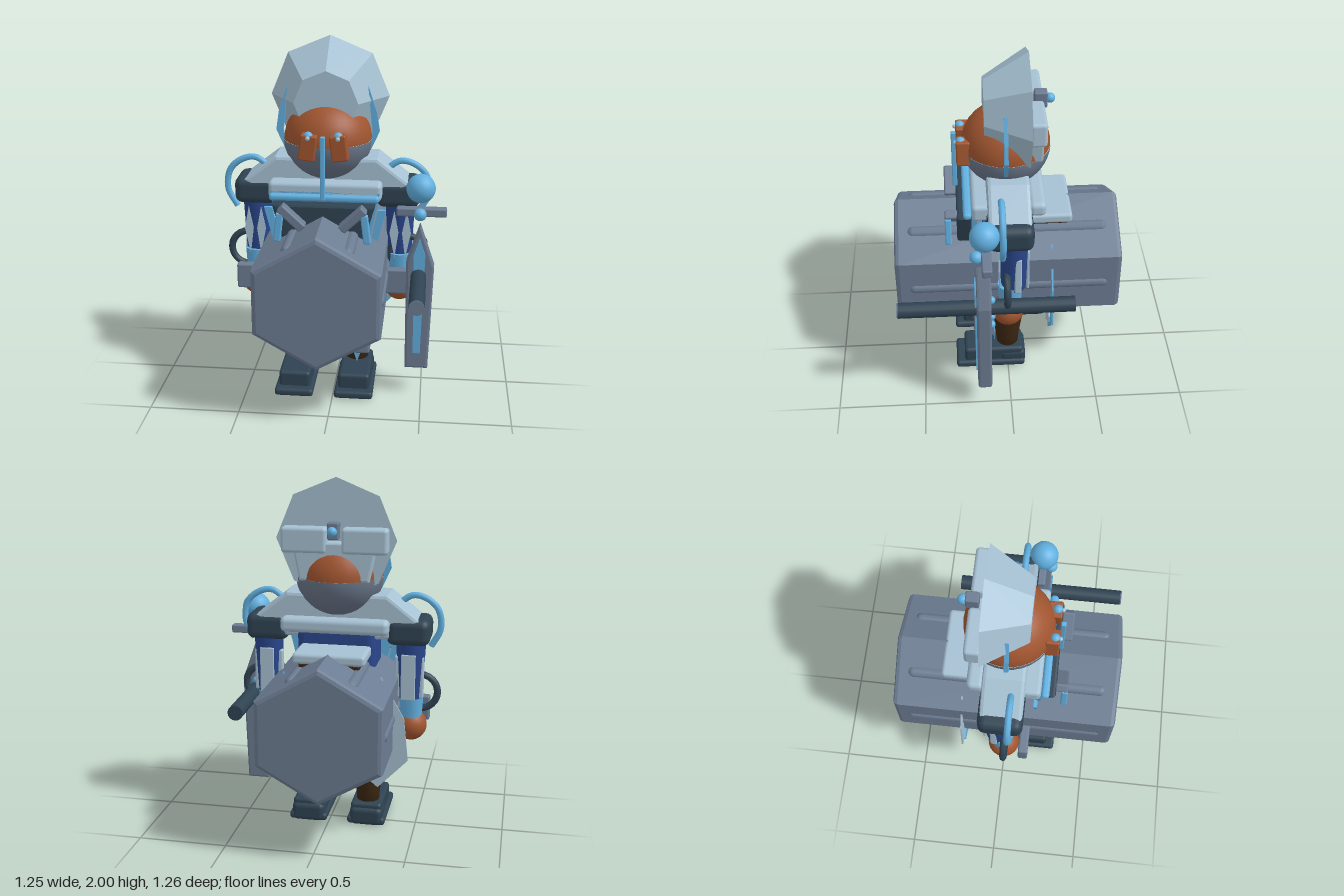
import * as THREE from 'three';
import { RoundedBoxGeometry } from 'three/addons/geometries/RoundedBoxGeometry.js';

const CX = -0.05; // the figure's own mirror line

const mat = (name, color, extra = {}) => {
  const m = new THREE.MeshStandardMaterial({ color, ...extra });
  m.name = name;
  return m;
};

export function createModel() {
  const root = new THREE.Group();
  root.name = 'figure';
  const D = { side: THREE.DoubleSide };
  const steel = mat('steel grey', 0x6c7c92);
  const pale = mat('pale plate', 0xa6c1d3, D);
  const paleFlat = pale;
  const blue = mat('sky blue', 0x62b0e0, D);
  const skin = mat('brown skin', 0xa05530);
  const dark = mat('dark slate', 0x2f4352);
  const navy = mat('navy cloth', 0x2a468c);
  const wood = mat('dark brown', 0x3c2712);
  const beard = mat('beard grey', 0x697588);

  const add = (name, geo, m, x = 0, y = 0, z = 0, rx = 0, ry = 0, rz = 0) => {
    const mesh = new THREE.Mesh(geo, m);
    mesh.name = name;
    mesh.position.set(x, y, z);
    mesh.rotation.set(rx, ry, rz);
    root.add(mesh);
    return mesh;
  };
  // rounded box given by its limits
  const box = (name, m, x0, x1, y0, y1, z0, z1, r = 0.015) =>
    add(name, new RoundedBoxGeometry(x1 - x0, y1 - y0, z1 - z0, 2,
      Math.min(r, (x1 - x0) / 2.2, (y1 - y0) / 2.2, (z1 - z0) / 2.2)), m,
    (x0 + x1) / 2, (y0 + y1) / 2, (z0 + z1) / 2);
  // outline in x,y pushed out from z0 to z1
  const plate = (name, m, pts, z0, z1, bevel = 0) => {
    const s = new THREE.Shape(pts.map(p => new THREE.Vector2(p[0], p[1])));
    const g = new THREE.ExtrudeGeometry(s, {
      depth: z1 - z0 - 2 * bevel, bevelEnabled: bevel > 0, bevelSize: bevel,
      bevelThickness: bevel, bevelOffset: -bevel, bevelSegments: 2,
    });
    return add(name, g, m, 0, 0, z0 + bevel);
  };
  const ball = (name, m, r, x, y, z) => add(name, new THREE.SphereGeometry(r, 20, 14), m, x, y, z);

  // big hexagonal drum lying along z, with a ridge on every face
  plate('hexDrum', steel, [[CX, 1.09], [-0.39, 0.895], [-0.39, 0.535], [CX, 0.34],
    [0.29, 0.535], [0.29, 0.895]], -0.63, 0.63, 0.025);
  for (let i = 0; i < 6; i++) {
    const a = i * Math.PI / 3;
    const rod = add('drumRidge', new THREE.CapsuleGeometry(0.035, 1.05, 4, 10), steel,
      CX + Math.cos(a) * 0.318, 0.715 + Math.sin(a) * 0.303, 0, Math.PI / 2);
    rod.scale.set(1, 1, 1);
  }

  // torso and collar
  box('torso', navy, -0.27, 0.17, 0.6, 1.24, -0.14, 0.14, 0.05);
  plate('collar', pale, [[-0.51, 1.23], [-0.33, 1.37], [0.23, 1.37], [0.41, 1.23],
    [0.3, 1.12], [-0.4, 1.12]], -0.115, 0.115, 0.02);
  box('collarFront', pale, -0.36, 0.26, 1.15, 1.25, 0.08, 0.2, 0.025);
  box('backRoll', pale, -0.35, 0.25, 1.16, 1.245, -0.205, -0.11, 0.03);
  box('backShelf', pale, -0.25, 0.145, 1.03, 1.09, -0.36, -0.12, 0.02);
  box('shelfUnderside', wood, -0.22, 0.115, 1.005, 1.035, -0.34, -0.12, 0.012);
  box('beltStrap', wood, 0.22, 0.28, 0.475, 0.5, -0.19, 0.02, 0.008);

  // chest instrument
  plate('chestBacking', blue, [[-0.35, 1.2], [0.25, 1.2], [0.19, 0.9], [-0.29, 0.9]], 0.17, 0.2);
  plate('chestBlock', dark, [[-0.33, 1.15], [0.23, 1.15], [0.17, 0.94], [-0.27, 0.94]], 0.195, 0.28, 0.015);
  box('chestBar', blue, -0.35, 0.25, 1.155, 1.195, 0.2, 0.245, 0.018);

  // head: bare upper part, bearded lower part
  const headPart = (name, m, r, t0, t1) => {
    const h = add(name, new THREE.SphereGeometry(r, 32, 12, 0, Math.PI * 2, t0, t1), m, CX, 1.455, 0);
    h.scale.y = 0.94;
  };
  headPart('headTop', skin, 0.242, 0, Math.PI / 2);
  headPart('beard', beard, 0.244, Math.PI / 2, Math.PI / 2);

  // hood: octagonal shell, wide at the flat back
  const hood = new THREE.CylinderGeometry(0.175, 0.33, 0.24, 8).toNonIndexed();
  hood.computeVertexNormals();
  add('hood', hood, paleFlat, CX, 1.67, 0, Math.PI / 2);

  // gear on the back of the hood
  box('backVisorRight', pale, -0.34, -0.09, 1.6, 1.74, -0.2, -0.11, 0.02);
  box('backVisorLeft', pale, -0.01, 0.24, 1.6, 1.74, -0.2, -0.11, 0.02);
  plate('backMask', pale, [[-0.28, 1.66], [0.18, 1.66], [0.14, 1.45], [-0.24, 1.45]], -0.19, -0.11, 0.012);
  box('lampHousing', steel, -0.08, -0.02, 1.68, 1.77, -0.22, -0.15, 0.008);
  ball('lamp', blue, 0.027, CX, 1.725, -0.235);

  // nose bar
  box('noseBar', blue, -0.063, -0.037, 1.18, 1.53, 0.268, 0.295, 0.006);

  for (const s of [-1, 1]) {
    const X = d => CX + s * d; // mirrored x
    const mp = pts => pts.map(([d, y]) => [X(d), y]);

    // goggle and eye
    const gog = box('goggle', skin, -0.045, 0.045, 1.39, 1.53, 0.195, 0.27, 0.01);
    gog.position.x = X(0.083);
    gog.rotation.z = s * 0.12;
    ball('eye', blue, 0.026, X(0.08), 1.52, 0.245);
    ball('eyeGlint', pale, 0.012, X(0.08), 1.515, 0.272);

    // ear fin
    plate('earFin', blue, mp([[0.22, 1.75], [0.27, 1.6], [0.285, 1.5], [0.235, 1.39],
      [0.245, 1.5], [0.235, 1.6]]), 0, 0.022);

    // shoulder pad and hose
    const pad = box('shoulderPad', dark, 0, 0.24, 1.09, 1.24, -0.125, 0.12, 0.045);
    pad.position.x = X(0.395);
    const pts = [[0.51, 1.06], [0.56, 1.16], [0.545, 1.27], [0.48, 1.33], [0.4, 1.345],
      [0.31, 1.28]].map(([d, y]) => new THREE.Vector3(X(d), y, 0.045));
    add('shoulderHose', new THREE.TubeGeometry(new THREE.CatmullRomCurve3(pts), 24, 0.018, 8), blue);

    // arm, cuff, hand
    add('upperArm', new THREE.CylinderGeometry(0.085, 0.068, 0.36, 16), navy, X(0.405), 0.96, -0.02);
    add('forearm', new THREE.CylinderGeometry(0.069, 0.06, 0.16, 12), blue, X(0.41), 0.72, 0);
    for (const k of [-1, 1])
      plate('sleevePatch', pale, mp([[0.41 + k * 0.035, 1.06], [0.435 + k * 0.035, 0.93],
        [0.41 + k * 0.03, 0.78], [0.385 + k * 0.035, 0.93]]), 0.055, 0.062);
    box('sleeveSide', pale, X(0.4) - 0.082, X(0.4) + 0.082, 0.78, 1.02, -0.06, -0.02, 0.01);
    box('sleeveBack', pale, X(0.4) - 0.04, X(0.4) + 0.04, 0.78, 1.04, -0.104, -0.09, 0.005);
    const cuff = box('cuff', steel, 0, 0.17, 0.6, 0.745, 0.1, 0.155, 0.012);
    cuff.position.x = X(0.42);
    ball('hand', skin, 0.09, X(0.41), 0.605, 0.01);
    add('armRing', new THREE.TorusGeometry(0.1, 0.02, 8, 24), dark, X(0.455), 0.8, 0.02);

    // angled chest levers with blue tips
    const lever = box('chestLever', steel, -0.085, 0.085, 1.065, 1.115, 0.275, 0.345, 0.01);
    lever.position.x = X(0.165);
    lever.rotation.z = s * 0.75;
    const tip = box('leverTip', blue, 0, 0.04, 0.96, 1.12, 0.31, 0.345, 0.008);
    tip.position.x = X(0.235);
    tip.rotation.z = s * 0.12;

    // blue strap beside the chest
    plate('chestStrap', blue, mp([[0.29, 1.1], [0.335, 1.1], [0.29, 0.92], [0.255, 0.92]]), 0.165, 0.185);

    // coat tails
    plate('coatTail', s < 0 ? pale : blue, mp([[0.27, 0.95], [0.4, 0.72], [0.425, 0.48],
      [0.26, 0.31], [0.15, 0.4], [0.2, 0.8]]), -0.245, -0.235);
    plate('coatTailTrim', s < 0 ? blue : pale, mp([[0.33, 0.55], [0.4, 0.52], [0.39, 0.47],
      [0.25, 0.36], [0.22, 0.42]]), -0.23, -0.222);

    // leg, knee plate, shin inlay
    const legPts = [[0.001, 0.08], [0.06, 0.08], [0.07, 0.2], [0.09, 0.34], [0.085, 0.43],
      [0.06, 0.465], [0.001, 0.47]].map(p => new THREE.Vector2(p[0], p[1]));
    add('leg', new THREE.LatheGeometry(legPts, 20), wood, X(0.17), 0, 0);
    const knee = box('kneePlate', steel, 0, 0.16, 0.24, 0.44, 0.08, 0.2, 0.015);
    knee.position.x = X(0.175);
    plate('shinInlay', blue, mp([[0.14, 0.235], [0.21, 0.235], [0.175, 0.13]]), 0.074, 0.082);

    // boot
    const upper = box('bootUpper', dark, 0, 0.18, 0.03, 0.135, -0.09, 0.26, 0.02);
    upper.position.x = X(0.17);
    const sole = box('bootSole', dark, 0, 0.22, 0.005, 0.05, -0.1, 0.31, 0.018);
    sole.position.x = X(0.17);
    box('bootHeel', dark, X(0.17) - 0.095, X(0.17) + 0.095, 0, 0.11, -0.105, 0.05, 0.03);
  }

  // sword hanging beside the left hand
  plate('blade', steel, [[0.472, 1.02], [0.555, 0.78], [0.535, 0.16], [0.405, 0.16], [0.4, 0.8]], 0.11, 0.19, 0.012);
  plate('bladeInlay', blue, [[0.472, 0.95], [0.505, 0.85], [0.49, 0.26], [0.45, 0.26], [0.44, 0.85]], 0.19, 0.199);
  box('crossGuard', steel, 0.34, 0.615, 1.062, 1.11, 0.105, 0.16, 0.01);
  ball('pommel', blue, 0.08, 0.47, 1.22, 0.14);
  ball('guardGem', blue, 0.035, 0.47, 1.085, 0.185);
  for (let i = 0; i < 4; i++)
    ball('bladeStud', blue, 0.022, 0.472, 0.6 + i * 0.06, 0.108);

  // long rod carried along z
  add('rod', new THREE.CylinderGeometry(0.043, 0.043, 0.965, 16), dark, 0.47, 0.728, 0.133, Math.PI / 2);
  add('rodCap', new THREE.CylinderGeometry(0.042, 0.042, 0.008, 16), steel, 0.47, 0.728, 0.618, Math.PI / 2);

  return root;
}
